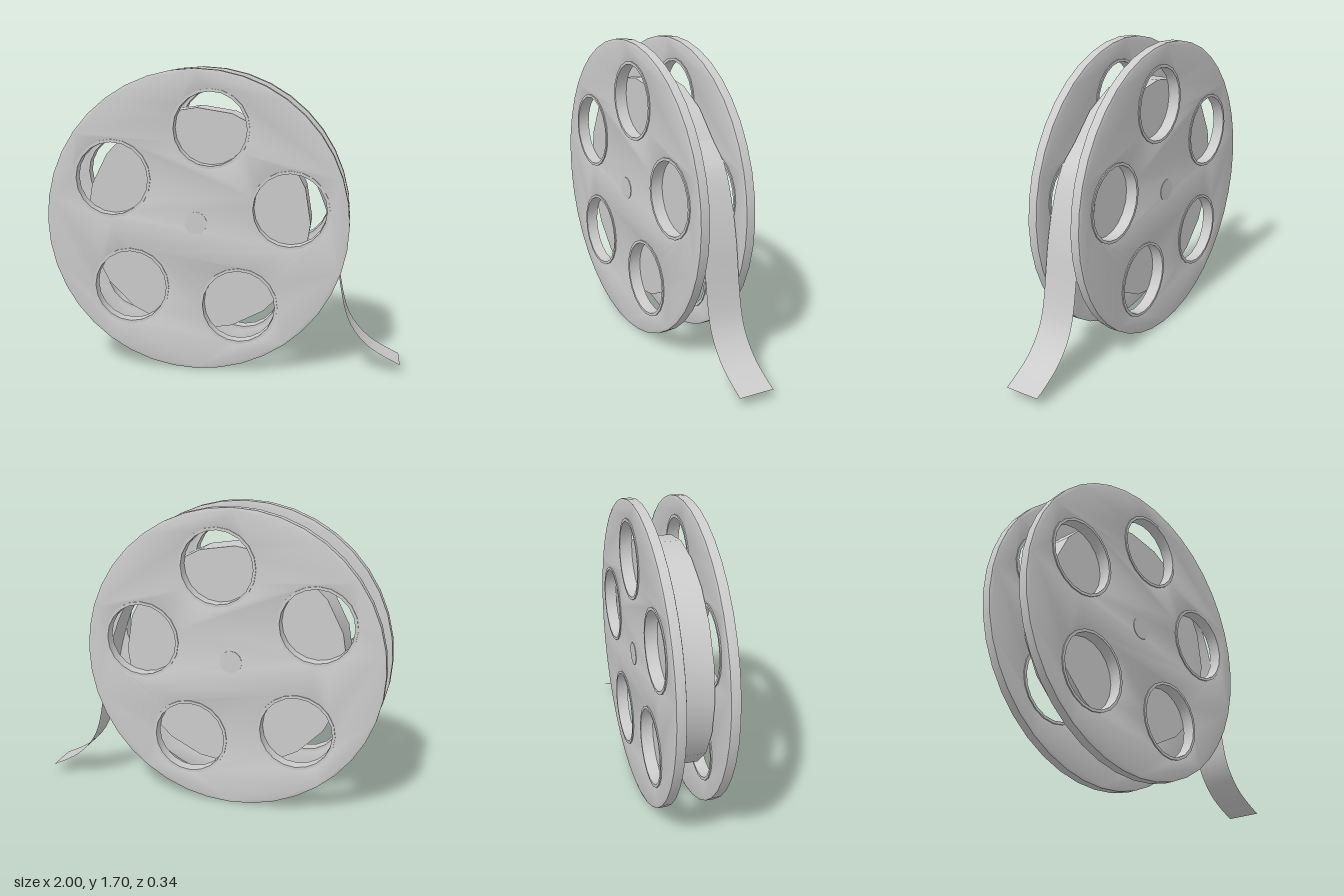
import * as THREE from 'three';
import { toCreasedNormals } from 'three/addons/utils/BufferGeometryUtils.js';

const CX = -0.15, CY = 0.852; // reel axis
const HOLES = 5, HOLE_DIST = 0.53, HOLE_START = THREE.MathUtils.degToRad(81);

const material = new THREE.MeshStandardMaterial({ color: 0xcccccc });
const ribbonMaterial = new THREE.MeshStandardMaterial({ color: 0xcccccc, side: THREE.DoubleSide });

function circlePoints(radius, sides, x = 0, y = 0) {
  return Array.from({ length: sides }, (_, i) => {
    const a = (i / sides) * Math.PI * 2;
    return new THREE.Vector2(x + radius * Math.cos(a), y + radius * Math.sin(a));
  });
}

function holeCentres() {
  return Array.from({ length: HOLES }, (_, i) => {
    const a = HOLE_START + (i / HOLES) * Math.PI * 2;
    return [HOLE_DIST * Math.cos(a), HOLE_DIST * Math.sin(a)];
  });
}

function add(parent, name, geometry, mat = material) {
  const mesh = new THREE.Mesh(toCreasedNormals(geometry, 0.5), mat);
  mesh.name = name;
  parent.add(mesh);
  return mesh;
}

// Flange plate with five round windows and a slim edge bevel, centred on z = 0
function flangeGeometry() {
  const shape = new THREE.Shape(circlePoints(0.85, 40));
  for (const [x, y] of holeCentres()) {
    shape.holes.push(new THREE.Path(circlePoints(0.212, 20, x, y)));
  }
  const geometry = new THREE.ExtrudeGeometry(shape, {
    depth: 0.05, bevelEnabled: true, bevelSegments: 1,
    bevelThickness: 0.004, bevelSize: 0.012, bevelOffset: -0.012,
  });
  return geometry.translate(0, 0, -0.025);
}

// Collar lining one window, standing slightly proud of both plate faces
function collarGeometry() {
  const shape = new THREE.Shape(circlePoints(0.22, 20));
  shape.holes.push(new THREE.Path(circlePoints(0.204, 20)));
  const geometry = new THREE.ExtrudeGeometry(shape, { depth: 0.068, bevelEnabled: false });
  return geometry.translate(0, 0, -0.034);
}

// Loose strip: a curve swept across the width of the roll
function ribbonGeometry(width) {
  const path = new THREE.CatmullRomCurve3([
    [0.364, 1.225], [0.49, 1.11], [0.57, 0.93], [0.62, 0.74], [0.65, 0.55], [0.68, 0.39],
    [0.71, 0.3], [0.76, 0.22], [0.83, 0.15], [0.91, 0.1], [1, 0.055],
  ].map(([x, y]) => new THREE.Vector3(x, y, 0)));
  const steps = 32;
  const geometry = new THREE.PlaneGeometry(1, width, steps, 1);
  const pos = geometry.attributes.position;
  for (let i = 0; i < pos.count; i++) {
    const p = path.getPoint((i % (steps + 1)) / steps);
    pos.setXYZ(i, p.x, p.y, i <= steps ? -width / 2 : width / 2);
  }
  geometry.computeVertexNormals();
  return geometry;
}

export function createModel() {
  const model = new THREE.Group();
  model.name = 'filmReel';

  const reel = new THREE.Group();
  reel.name = 'reel';
  reel.position.set(CX, CY, 0);
  model.add(reel);

  // Wound film, twenty-sided
  add(reel, 'filmRoll', new THREE.CylinderGeometry(0.635, 0.635, 0.2, 20)
    .rotateX(Math.PI / 2));

  // Axle showing as a small disc on each flange
  add(reel, 'axle', new THREE.CylinderGeometry(0.063, 0.063, 0.334, 24)
    .rotateX(Math.PI / 2));

  // Front and back flanges with collars
  for (const side of [1, -1]) {
    const flange = new THREE.Group();
    flange.name = side > 0 ? 'frontFlange' : 'backFlange';
    flange.position.z = side * 0.135;
    reel.add(flange);
    add(flange, 'plate', flangeGeometry());
    for (const [x, y] of holeCentres()) {
      add(flange, 'windowCollar', collarGeometry()).position.set(x, y, 0);
    }
  }

  // Unwound end of the film
  add(model, 'filmTail', ribbonGeometry(0.2), ribbonMaterial);

  return model;
}
